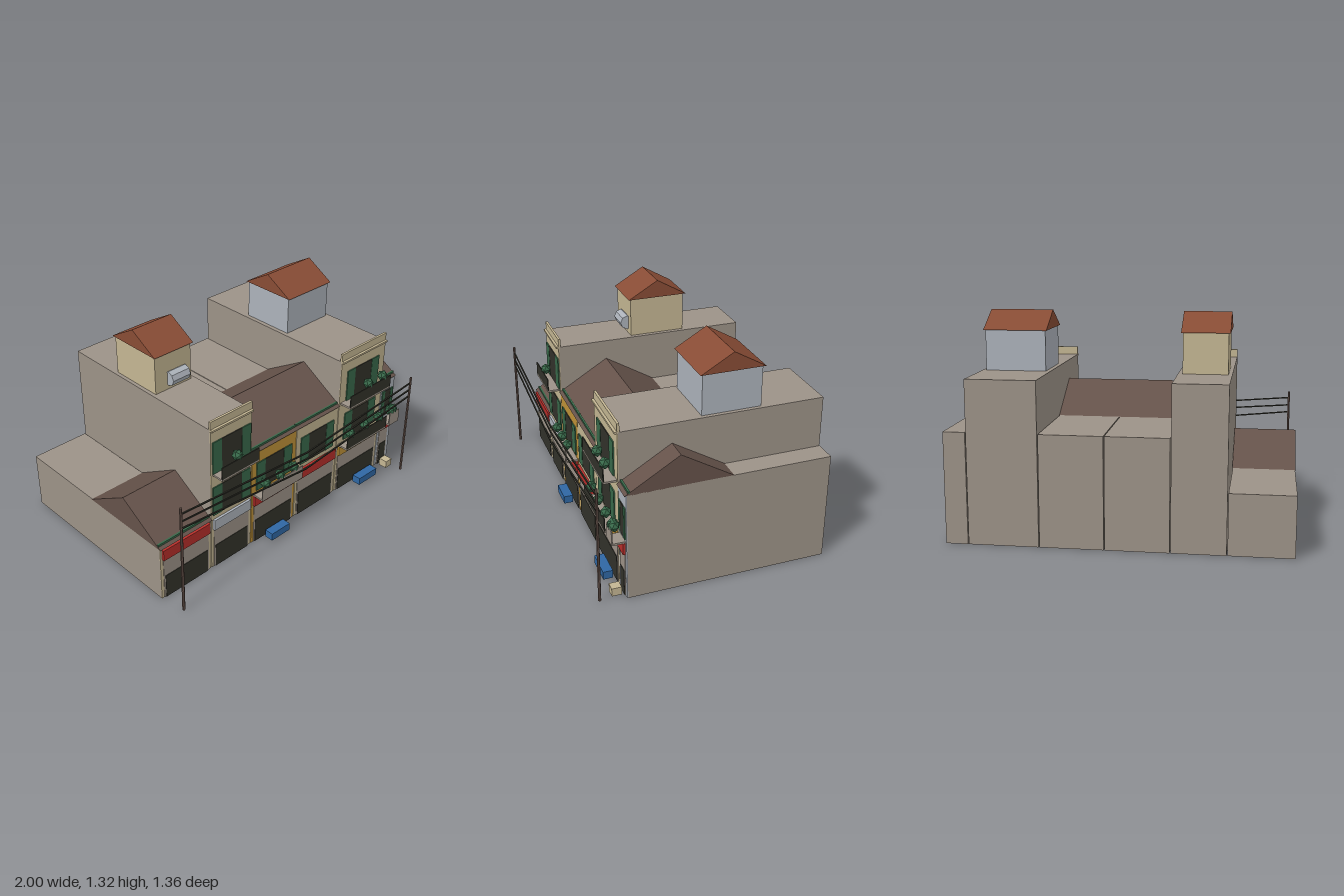
import * as THREE from 'three';

const mat = (name, color) => {
  const m = new THREE.MeshStandardMaterial({ color, flatShading: true });
  m.name = name;
  return m;
};

export function createModel() {
  const C = {
    stone: mat('stone', 0x9c9287),
    plaster: mat('plaster', 0xc3b592),
    ochre: mat('ochre', 0xbf9238),
    pale: mat('paleBlueGrey', 0xacb2ba),
    green: mat('green', 0x38694a),
    dark: mat('darkOpening', 0x32322a),
    red: mat('red', 0xb62e2a),
    blue: mat('blue', 0x2f67a3),
    brown: mat('brownRoof', 0x65524a),
    tile: mat('terracotta', 0x884c35),
  };
  const model = new THREE.Group();
  model.name = 'shophouseRow';

  const add = (parent, name, geo, material) => {
    const m = new THREE.Mesh(geo, material);
    m.name = name;
    parent.add(m);
    return m;
  };
  // Box given by its minimum and maximum corners
  const box = (parent, name, material, x0, x1, y0, y1, z0, z1) => {
    const m = add(parent, name, new THREE.BoxGeometry(x1 - x0, y1 - y0, z1 - z0), material);
    m.position.set((x0 + x1) / 2, (y0 + y1) / 2, (z0 + z1) / 2);
    return m;
  };
  // Gable prism with its ridge along x
  const gable = (parent, name, material, x0, x1, y0, y1, z0, z1) => {
    const s = new THREE.Shape([
      new THREE.Vector2(-z1, y0), new THREE.Vector2(-z0, y0), new THREE.Vector2(-(z0 + z1) / 2, y1),
    ]);
    const geo = new THREE.ExtrudeGeometry(s, { depth: x1 - x0, bevelEnabled: false });
    geo.rotateY(Math.PI / 2).translate(x0, 0, 0);
    return add(parent, name, geo, material);
  };

  const F = 0.52; // front wall plane

  const shutters = (g, x0, x1, y0, y1) => {
    const c = (x0 + x1) / 2, w = Math.min(0.148, (x1 - x0) / 2 - 0.012);
    box(g, 'windowPane', C.dark, c - w * 0.53, c + w * 0.53, y0, y1, F, F + 0.007);
    for (const s of [-1, 1]) {
      const a = c + s * w * 0.53, b = c + s * w;
      box(g, 'shutter', C.green, Math.min(a, b), Math.max(a, b), y0, y1, F, F + 0.009);
    }
  };

  const balcony = (g, x0, x1, y, railMat, plants) => {
    box(g, 'balconySlab', C.stone, x0, x1, y - 0.008, y + 0.004, F, 0.6);
    box(g, 'balconyRail', railMat, x0, x1, y + 0.004, y + 0.083, 0.594, 0.6);
    for (const x of plants) {
      const p = add(g, 'plant', new THREE.IcosahedronGeometry(0.034, 0), C.green);
      p.position.set(x, y + 0.09, 0.573);
    }
  };

  // One entry per house; b1 and b2 are plant positions on each balcony
  const houses = [
    { x: [-1, -0.625], h: 0.36, wall: C.plaster, awning: C.red, shop: 0.155 },
    { x: [-0.62, -0.305], h: 0.965, wall: C.plaster, awning: C.pale, shop: 0.155, b2: [-0.465] },
    { x: [-0.3, 0.07], h: 0.66, wall: C.ochre, awning: C.red, shop: 0.16, b1: [-0.235, -0.115, 0], rail: C.stone },
    { x: [0.075, 0.447], h: 0.66, wall: C.plaster, awning: C.red, shop: 0.17 },
    { x: [0.452, 0.865], h: 0.965, wall: C.plaster, awning: C.ochre, shop: 0.165, b1: [0.52, 0.66, 0.797], b2: [0.66, 0.797] },
    { x: [0.87, 1], h: 0.66, wall: C.pale, awning: C.red, shop: 0.16, b1: [0.915, 0.94], rail: C.stone },
  ];

  houses.forEach((H, i) => {
    const g = new THREE.Group();
    g.name = 'house' + (i + 1);
    model.add(g);
    const [x0, x1] = H.x;
    const tall = H.h > 0.9;
    const a = x0 + 0.014, b = x1 - (i === 5 ? 0.02 : 0.014);

    box(g, 'body', C.stone, x0, x1, 0, H.h, -0.68, F - 0.003);
    box(g, 'facade', H.wall, x0, x1, 0, H.h, F - 0.003, F + 0.002);

    // Shop front and awning
    box(g, 'shopPanel', C.stone, a + 0.005, b - 0.005, 0, 0.28, F, F + 0.005);
    box(g, 'shopOpening', C.dark, a + 0.016, b - 0.016, 0, H.shop, F, F + 0.008);
    box(g, 'awning', H.awning, a, b, 0.277, 0.348, F, 0.537);

    // Upper floors
    if (H.h > 0.5) shutters(g, x0, x1, 0.38, 0.575);
    if (tall) shutters(g, x0, x1, 0.67, 0.88);
    if (H.b1) balcony(g, a, b, 0.358, H.rail || C.dark, H.b1);
    if (H.b2) balcony(g, a, b, 0.667, C.dark, H.b2);

    if (tall) {
      box(g, 'parapet', H.wall, x0, x1, H.h, 1.016, 0.508, F + 0.002);
      box(g, 'cornice', H.wall, x0, x1, 0.956, 0.968, F, 0.537);
    } else {
      gable(g, 'roof', C.brown, x0 - 0.003, x1 + (i === 5 ? 0 : 0.003), H.h - 0.003, H.h + 0.186, -0.097, 0.531);
      box(g, 'gutter', C.green, x0, x1, H.h + 0.008, H.h + 0.022, 0.499, 0.511);
    }
  });

  // Rooftop rooms
  for (const [x0, x1, wall] of [[-0.597, -0.332, C.plaster], [0.48, 0.842, C.pale]]) {
    const g = new THREE.Group();
    g.name = 'rooftopRoom';
    model.add(g);
    box(g, 'roomWalls', wall, x0, x1, 0.96, 1.21, -0.31, 0.04);
    gable(g, 'roomRoof', C.tile, x0 - 0.01, x1 + 0.01, 1.206, 1.316, -0.325, 0.055);
  }
  const tank = add(model, 'waterTank', new THREE.CylinderGeometry(0.045, 0.045, 0.13, 8), C.pale);
  tank.rotation.z = Math.PI / 2;
  tank.position.set(-0.443, 1.038, 0.048);

  // Crates on the pavement
  for (const [x0, x1, m] of [[-0.192, -0.04, C.blue], [0.626, 0.797, C.blue], [0.902, 0.957, C.plaster]]) {
    box(model, 'crate', m, x0, x1, 0, 0.05, 0.54, 0.598);
  }

  // Utility poles and sagging wires
  const pz = 0.671, px = 0.967;
  for (const s of [-1, 1]) {
    const pole = add(model, 'utilityPole', new THREE.CylinderGeometry(0.008, 0.009, 0.716, 6), C.brown);
    pole.position.set(s * px, 0.358, pz);
    for (const [yEnd, yMid] of [[0.675, 0.598], [0.625, 0.553], [0.578, 0.483]]) {
      const dy = yEnd - yMid;
      const wire = add(model, 'wire', new THREE.BoxGeometry(Math.hypot(px, dy), 0.008, 0.008), C.dark);
      wire.position.set((s * px) / 2, (yEnd + yMid) / 2, pz);
      wire.rotation.z = s * Math.atan2(dy, px);
    }
  }
  return model;
}
